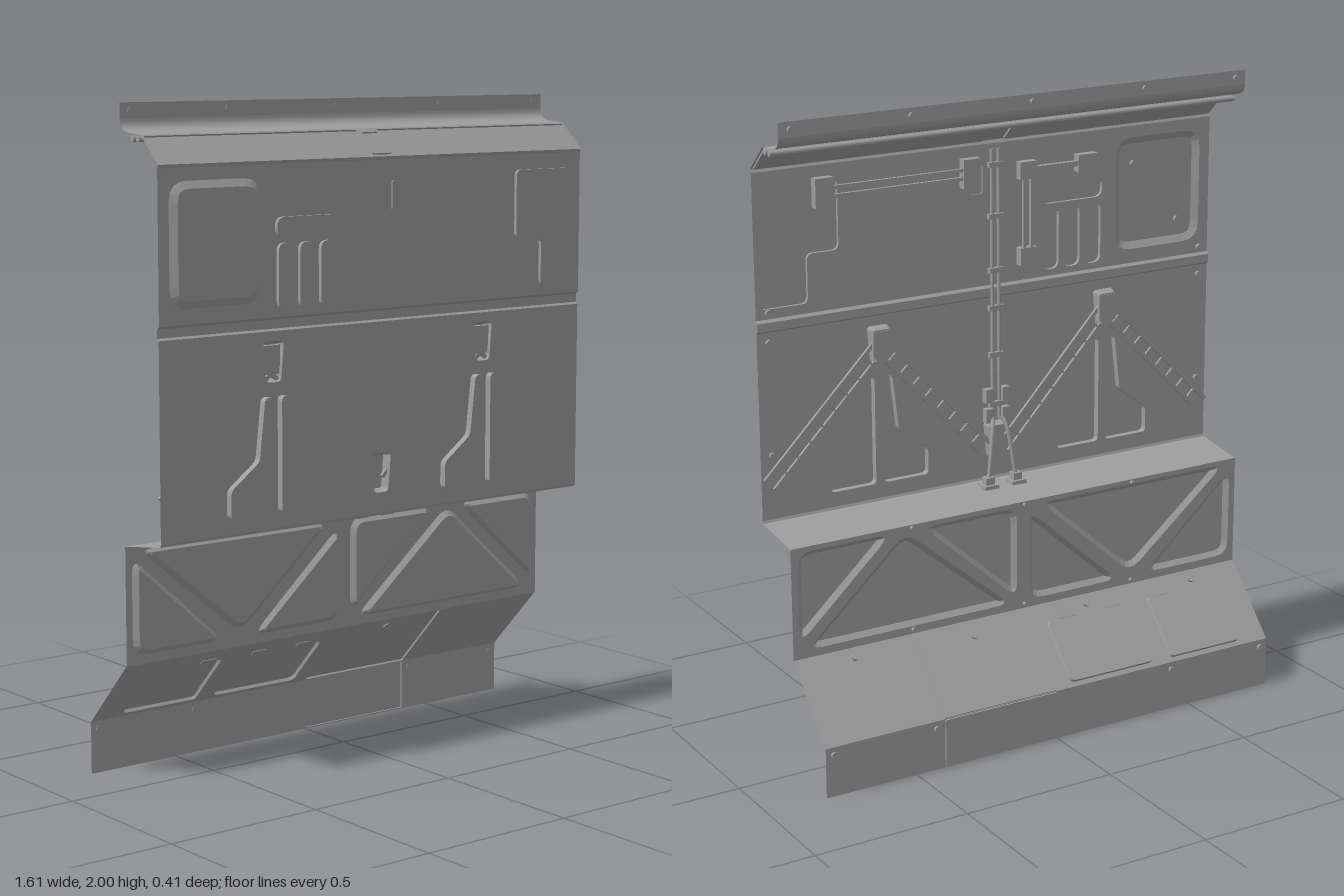
import * as THREE from 'three';
import { mergeGeometries } from 'three/addons/utils/BufferGeometryUtils.js';

const mat = new THREE.MeshStandardMaterial({ color: 0x9e9e9e, side: THREE.DoubleSide });
const W = 0.807; // half width of the wall
const V = (p) => new THREE.Vector3(...p);

function add(parent, name, geometry, pos = [0, 0, 0]) {
  const m = new THREE.Mesh(geometry, mat);
  m.name = name;
  m.position.set(...pos);
  parent.add(m);
  return m;
}
const box = (parent, name, size, pos) => add(parent, name, new THREE.BoxGeometry(...size), pos);

// Polygon corners rounded with radius r, returned counter-clockwise
function rounded(points, r = 0.015) {
  const pts = points.map(([x, y]) => new THREE.Vector2(x, y));
  if (THREE.ShapeUtils.isClockWise(pts)) pts.reverse();
  const out = [], n = pts.length;
  pts.forEach((p, i) => {
    const toward = (q) => p.clone().add(q.clone().sub(p).setLength(Math.min(r, q.distanceTo(p) * 0.45)));
    const curve = new THREE.QuadraticBezierCurve(toward(pts[(i + n - 1) % n]), p, toward(pts[(i + 1) % n]));
    out.push(...curve.getPoints(4));
  });
  return out;
}
const rect = (x0, x1, y0, y1) => [[x0, y0], [x1, y0], [x1, y1], [x0, y1]];
const press = (points, depth, inset = 0, r = 0.015) => ({ outline: rounded(points, r), depth, inset });

// Outline moved inward by d along its corner bisectors
function insetOutline(pts, d) {
  const n = pts.length;
  return pts.map((p, i) => {
    const e1 = p.clone().sub(pts[(i + n - 1) % n]).normalize();
    const e2 = pts[(i + 1) % n].clone().sub(p).normalize();
    const m = new THREE.Vector2(-e1.y - e2.y, e1.x + e2.x);
    return p.clone().addScaledVector(m, (2 * d) / Math.max(m.lengthSq(), 1));
  });
}

// Thin sheet with pressed shapes: a hole, walls and a cap for each
function sheet(parent, name, [x0, x1, y0, y1], z, presses) {
  const plate = new THREE.Shape(rect(x0, x1, y0, y1).map((p) => new THREE.Vector2(...p)));
  const parts = [];
  for (const { outline, depth, inset } of presses) {
    plate.holes.push(new THREE.Path(outline));
    const inner = insetOutline(outline, inset);
    parts.push(new THREE.ShapeGeometry(new THREE.Shape(inner)).translate(0, 0, depth));
    const v = [];
    outline.forEach((a, i) => {
      const j = (i + 1) % outline.length, b = outline[j], c = inner[j], d = inner[i];
      v.push(a.x, a.y, 0, b.x, b.y, 0, c.x, c.y, depth, a.x, a.y, 0, c.x, c.y, depth, d.x, d.y, depth);
    });
    const wall = new THREE.BufferGeometry();
    wall.setAttribute('position', new THREE.Float32BufferAttribute(v, 3));
    wall.computeVertexNormals();
    parts.push(wall);
  }
  parts.push(new THREE.ShapeGeometry(plate));
  const geo = mergeGeometries(parts.map((g) => {
    const s = g.index ? g.toNonIndexed() : g;
    s.deleteAttribute('uv');
    return s;
  }));
  add(parent, name, geo, [0, 0, z]);
}

// Strip following a [z, y] profile across the full width
function strip(parent, name, profile, smooth = false) {
  const v = [], idx = [];
  profile.forEach(([z, y], i) => {
    v.push(-W, y, z, W, y, z);
    if (i) idx.push(2 * i - 2, 2 * i - 1, 2 * i + 1, 2 * i - 2, 2 * i + 1, 2 * i);
  });
  let g = new THREE.BufferGeometry();
  g.setAttribute('position', new THREE.Float32BufferAttribute(v, 3));
  g.setIndex(idx);
  if (!smooth) g = g.toNonIndexed();
  g.computeVertexNormals();
  add(parent, name, g);
}

function bar(parent, name, a, b, w, d = w) {
  const p = V(a), q = V(b);
  const m = add(parent, name, new THREE.BoxGeometry(w, d, p.distanceTo(q)), p.clone().lerp(q, 0.5).toArray());
  m.lookAt(q);
}
function rod(parent, name, pts, r) {
  add(parent, name, new THREE.TubeGeometry(new THREE.CatmullRomCurve3(pts.map(V)), 12, r, 8));
}
function bolt(parent, x, y, z, r = 0.01) {
  add(parent, 'bolt', new THREE.CylinderGeometry(r, r, 0.01, 10).rotateX(Math.PI / 2), [x, y, z]);
}

// Ladder brace of two rails with rungs
function brace(parent, [ax, ay], [bx, by], z) {
  const g = new THREE.Group();
  g.name = 'ladderBrace';
  parent.add(g);
  const len = Math.hypot(bx - ax, by - ay), n = 9;
  const at = (t, s) => [
    ax + (bx - ax) * t - ((by - ay) / len) * s, ay + (by - ay) * t + ((bx - ax) / len) * s, z];
  for (const s of [-0.022, 0.022]) bar(g, 'rail', at(0, s), at(1, s), 0.009, 0.012);
  for (let i = 1; i < n; i++) bar(g, 'rung', at(i / n, -0.022), at(i / n, 0.022), 0.007);
}

export function createModel() {
  const root = new THREE.Group();
  root.name = 'wallPanel';

  // Bottom skirt
  sheet(root, 'skirt', [-W, W, 0, 0.16], -0.197, [press(rect(0.002, 0.4, 0.004, 0.158), -0.005, 0, 0.003)]);
  for (const x of [-0.78, -0.43, 0.43, 0.78]) bolt(root, x, 0.135, -0.2);

  // Sloping deck with access hatches
  const deck = new THREE.Group();
  deck.name = 'slopingDeck';
  deck.position.set(0, 0.16, -0.197);
  deck.rotation.x = Math.atan2(0.197, 0.21);
  root.add(deck);
  sheet(deck, 'deckSheet', [-W, W, 0, 0.288], 0, [
    press([[-0.7, 0.16], [-0.61, 0.16], [-0.61, 0.225], [-0.435, 0.225], [-0.435, 0.015], [-0.7, 0.015]], -0.01, 0.002, 0.012),
    press(rect(-0.37, -0.055, 0.015, 0.225), -0.01, 0.002, 0.02),
    press(rect(0.002, 0.4, 0.002, 0.28), -0.006, 0, 0.003),
  ]);
  for (const x of [-0.49, -0.3, -0.13]) box(deck, 'hatchHinge', [0.05, 0.016, 0.014], [x, 0.231, -0.005]);
  for (const [x, y] of [[-0.62, 0.255], [-0.215, 0.255], [0.205, 0.235], [0.615, 0.255]]) bolt(deck, x, y, -0.008, 0.012);

  // Lower wall with pressed triangles
  const tri = (...p) => press(p, 0.013, 0.016, 0.05);
  sheet(root, 'lowerWall', [-W, W, 0.368, 0.725], 0, [
    tri([-0.785, 0.395], [-0.46, 0.395], [-0.785, 0.69]),
    tri([-0.76, 0.71], [-0.06, 0.71], [-0.4, 0.41]),
    tri([-0.02, 0.395], [-0.35, 0.395], [-0.02, 0.69]),
    tri([0.025, 0.71], [0.36, 0.71], [0.025, 0.41]),
    tri([0.05, 0.395], [0.76, 0.395], [0.42, 0.705]),
    tri([0.785, 0.71], [0.47, 0.71], [0.785, 0.42]),
  ]);
  for (const x of [-0.4, 0, 0.4]) for (const y of [0.385, 0.716]) bolt(root, x, y, -0.006, 0.006);

  // Ledge and bottom lip of the main wall
  strip(root, 'ledge', [[0, 0.725], [0.165, 0.748], [0.18, 0.75], [0.183, 0.758], [0.183, 0.77]]);

  // Main wall with pockets and split stiffeners
  const pocket = (x, y) => press([[x - 0.027, y], [x + 0.027, y], [x + 0.038, y + 0.12], [x - 0.038, y + 0.12]], -0.025, 0.009, 0.014);
  const mainPresses = [pocket(0, 0.82)];
  for (const s of [-1, 1]) {
    mainPresses.push(pocket(s * 0.405, 1.19));
    for (const h of [-1, 1]) {
      const half = [[0.014, 0.805], [0.17, 0.805], [0.17, 0.89], [0.068, 0.965], [0.047, 1.15], [0.014, 1.15]];
      mainPresses.push(press(half.map(([x, y]) => [s * 0.405 + h * x, y]), 0.022));
    }
  }
  sheet(root, 'mainWall', [-W, W, 0.77, 1.34], 0.183, mainPresses);
  strip(root, 'wallSeam', [[0.183, 1.34], [0.176, 1.346], [0.176, 1.372], [0.185, 1.38]]);

  // Upper wall: square recess, slots and notched plate
  const slots = [press(rect(-0.4, -0.175, 1.61, 1.67), 0.012, 0, 0.028)];
  for (const x of [-0.365, -0.287, -0.21]) slots.push(press(rect(x - 0.03, x + 0.03, 1.4, 1.595), 0.012, 0, 0.026));
  sheet(root, 'upperWall', [-W, W, 1.38, 1.822], 0.185, [
    press(rect(-0.77, -0.45, 1.425, 1.785), 0.013, 0.022, 0.06),
    ...slots,
    press(rect(0.035, 0.085, 1.67, 1.76), 0.004, 0, 0.008),
    press([[0.53, 1.775], [0.79, 1.775], [0.79, 1.41], [0.635, 1.41], [0.635, 1.56], [0.53, 1.56]], 0.01, 0, 0.02),
  ]);
  for (const [x, y] of [[-0.69, 1.5], [-0.52, 1.7]]) bolt(root, x, y, 0.192);
  for (const x of [-0.77, 0.77]) for (const y of [0.96, 1.31, 1.4]) bolt(root, x, y, 0.177);

  // Sloping hood with a centre bracket
  strip(root, 'hoodLip', [[0.185, 1.822], [0.19, 1.832]]);
  const hood = new THREE.Group();
  hood.name = 'hood';
  hood.position.set(0, 1.832, 0.19);
  hood.rotation.x = Math.atan2(-0.085, 0.08);
  root.add(hood);
  sheet(hood, 'hoodSheet', [-W, W, 0, 0.117], 0, [-1, 1].map((s) =>
    press(rect(s * 0.038, s * 0.8, 0.006, 0.112), -0.006, 0, 0.004)));
  const frame = new THREE.Shape(rounded(rect(-0.036, 0.036, 0.008, 0.104), 0.008));
  frame.holes.push(new THREE.Path(rounded(rect(-0.029, 0.029, 0.016, 0.096), 0.006)));
  add(hood, 'centreBracket', new THREE.ExtrudeGeometry(frame, { depth: 0.006, bevelEnabled: false }));

  // Top ramp curving into the flange, with pipes beneath it
  const cove = new THREE.QuadraticBezierCurve(
    new THREE.Vector2(0.04, 1.918), new THREE.Vector2(0, 1.922), new THREE.Vector2(0, 1.955));
  strip(root, 'topRamp', [[0.105, 1.912], [0.04, 1.918]]);
  strip(root, 'topCove', cove.getPoints(8).map((p) => [p.x, p.y]), true);
  strip(root, 'topFlange', [[0, 1.955], [0, 2]]);
  for (const x of [-0.77, -0.43, -0.03, 0.38, 0.77]) bolt(root, x, 1.977, -0.003);
  for (const z of [0.09, 0.062]) {
    add(root, 'pipe', new THREE.CylinderGeometry(0.009, 0.009, 2 * W, 10).rotateZ(Math.PI / 2), [0, 1.9, z]);
  }

  // Ladder braces behind the main wall
  for (const s of [-1, 1]) {
    brace(root, [s * 0.405, 1.25], [s * 0.03, 0.85], 0.17);
    brace(root, [s * 0.405, 1.25], [s * 0.785, 0.87], 0.17);
    box(root, 'braceCap', [0.06, 0.085, 0.02], [s * 0.405, 1.255, 0.165]);
  }

  // Centre rods with clips, ending in splayed legs on the ledge
  for (const s of [-1, 1]) {
    rod(root, 'centreRod', [[s * 0.012, 1.81, 0.168], [s * 0.012, 0.95, 0.168]], 0.006);
    rod(root, 'splayedLeg', [[s * 0.016, 0.96, 0.162], [s * 0.025, 0.93, 0.146], [s * 0.05, 0.76, 0.13]], 0.007);
    box(root, 'foot', [0.05, 0.012, 0.045], [s * 0.05, 0.747, 0.13]);
    box(root, 'ankle', [0.03, 0.025, 0.028], [s * 0.05, 0.763, 0.132]);
    for (const y of [0.965, 1.03]) box(root, 'legBracket', [0.025, 0.045, 0.022], [s * 0.03, y, 0.166]);
  }
  for (const y of [1.0, 1.16, 1.31, 1.43, 1.6, 1.76]) box(root, 'rodClip', [0.05, 0.016, 0.014], [0, y, 0.167]);

  // Grab bars behind the upper wall
  const grabBar = (a, b, horizontal) => {
    for (const [x, y] of [a, b]) box(root, 'grabMount', [0.06, horizontal ? 0.09 : 0.055, 0.026], [x, y, 0.171]);
    for (const o of [-0.013, 0.013]) {
      const end = ([x, y]) => (horizontal ? [x, y + o, 0.166] : [x + o, y, 0.166]);
      bar(root, 'grabRail', end(a), end(b), 0.01);
    }
  };
  grabBar([0.585, 1.742], [0.085, 1.742], true);
  grabBar([-0.115, 1.73], [-0.115, 1.46], false);
  box(root, 'grabMount', [0.07, 0.055, 0.026], [-0.33, 1.73, 0.171]);
  bar(root, 'grabRail', [-0.115, 1.73, 0.17], [-0.33, 1.73, 0.17], 0.016);

  return root;
}
